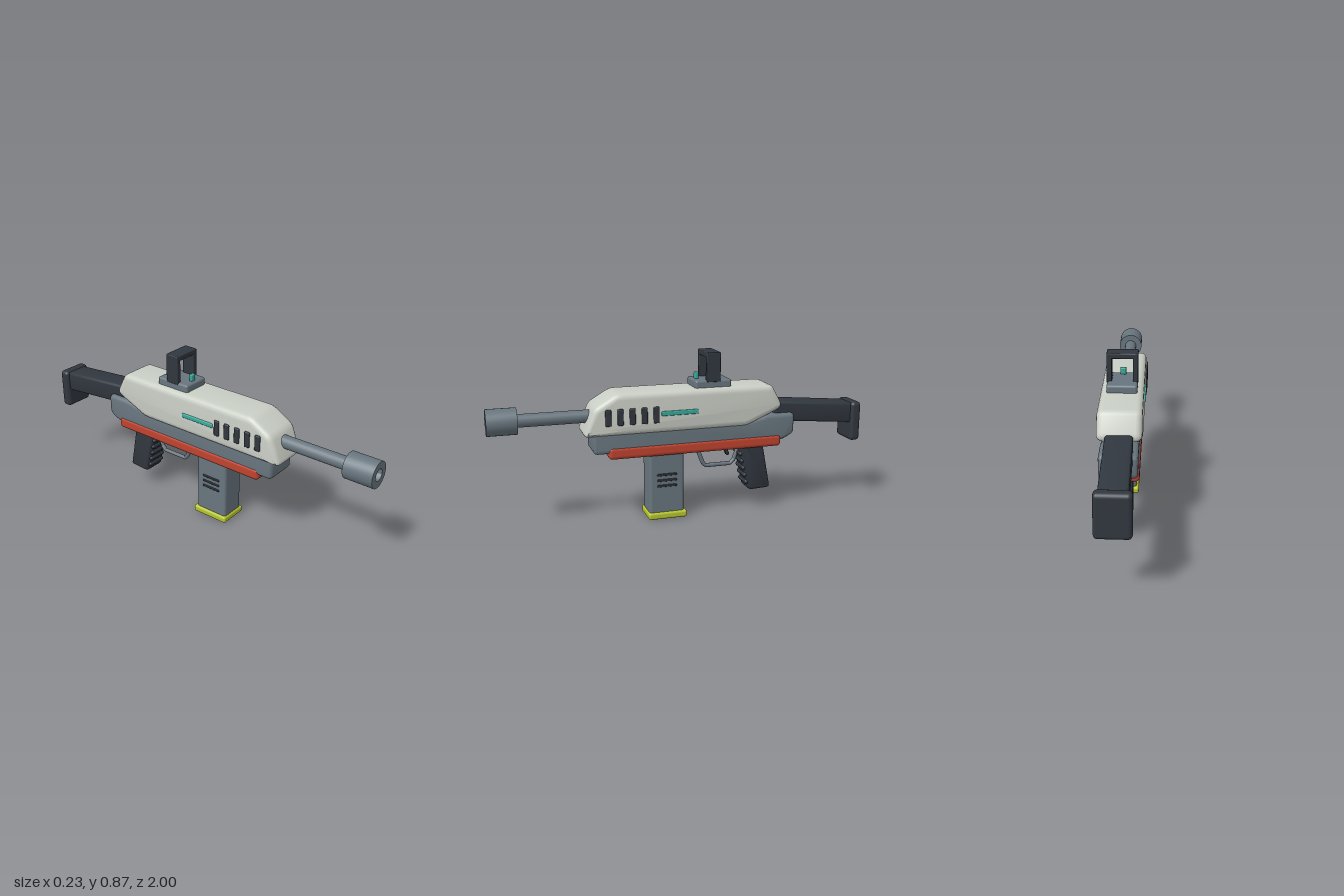
import * as THREE from 'three';
import { toCreasedNormals } from 'three/addons/utils/BufferGeometryUtils.js';
import { RoundedBoxGeometry } from 'three/addons/geometries/RoundedBoxGeometry.js';

const paint = (name, color) => {
  const m = new THREE.MeshStandardMaterial({ color });
  m.name = name;
  return m;
};

// Closed outline with softened corners; points are [z, y]
function softShape(points, radius) {
  const pts = points.map(p => new THREE.Vector2(...p));
  const shape = new THREE.Shape();
  pts.forEach((p, i) => {
    const prev = pts[(i + pts.length - 1) % pts.length], next = pts[(i + 1) % pts.length];
    const toward = q => p.clone().lerp(q, Math.min(0.45, radius / p.distanceTo(q)));
    const a = toward(prev), b = toward(next);
    if (i === 0) shape.moveTo(a.x, a.y); else shape.lineTo(a.x, a.y);
    shape.quadraticCurveTo(p.x, p.y, b.x, b.y);
  });
  shape.closePath();
  return shape;
}

// Side outline extruded across x, with rounded edges
function slab(points, halfWidth, bevel, radius = bevel) {
  const depth = 2 * (halfWidth - bevel);
  const g = new THREE.ExtrudeGeometry(softShape(points, radius), {
    depth, curveSegments: 4, bevelEnabled: true, bevelSegments: 4,
    bevelThickness: bevel, bevelSize: bevel, bevelOffset: -bevel,
  });
  g.translate(0, 0, -depth / 2).rotateY(-Math.PI / 2);
  return toCreasedNormals(g, 0.6);
}

export function createModel() {
  const model = new THREE.Group();
  model.name = 'toyBlaster';
  const shell = paint('pale shell', 0xc9cec5);
  const grey = paint('slate grey', 0x68757e);
  const dark = paint('charcoal', 0x31373f);
  const red = paint('red', 0xc0432f);
  const yellow = paint('lime yellow', 0xb6c42e);
  const teal = paint('teal', 0x36ab9b);

  const add = (name, geometry, material, x = 0, y = 0, z = 0) => {
    const mesh = new THREE.Mesh(geometry, material);
    mesh.name = name;
    mesh.position.set(x, y, z);
    model.add(mesh);
    return mesh;
  };
  // Rounded box given by its extents in y and z, centred on x
  const block = (name, mat, halfW, y0, y1, z0, z1, r, x = 0) =>
    add(name, new RoundedBoxGeometry(2 * halfW, y1 - y0, z1 - z0, 3, r), mat, x, (y0 + y1) / 2, (z0 + z1) / 2);

  // Body
  add('upperShell', slab([
    [0.54, 0.475], [0.485, 0.62], [0.37, 0.688], [-0.46, 0.688],
    [-0.52, 0.575], [-0.5, 0.552], [-0.32, 0.475],
  ], 0.107, 0.03, 0.025), shell);
  add('lowerReceiver', slab([
    [0.49, 0.38], [0.49, 0.53], [-0.34, 0.5], [-0.44, 0.525],
    [-0.597, 0.525], [-0.597, 0.415], [-0.53, 0.38],
  ], 0.092, 0.022), grey);
  block('underRail', red, 0.097, 0.35, 0.415, -0.52, 0.415, 0.02);

  // Barrel and muzzle with a shallow bore
  const barrel = new THREE.CylinderGeometry(0.033, 0.033, 0.42, 24).rotateX(Math.PI / 2);
  add('barrel', barrel, grey, 0, 0.565, 0.67);
  const muzzle = new THREE.LatheGeometry(
    [[0, 0], [0.067, 0], [0.067, 0.15], [0.031, 0.15], [0.026, 0.12], [0, 0.11]].map(p => new THREE.Vector2(...p)), 28);
  add('muzzle', toCreasedNormals(muzzle.rotateX(Math.PI / 2), 0.5), grey, 0, 0.565, 0.85);

  // Shoulder stock
  add('stockArm', slab([
    [-0.49, 0.592], [-0.96, 0.55], [-0.96, 0.44], [-0.49, 0.482],
  ], 0.066, 0.015), dark);
  block('buttPad', dark, 0.083, 0.34, 0.557, -1, -0.942, 0.02);

  // Magazine
  block('magazine', grey, 0.068, 0.02, 0.37, 0.015, 0.2, 0.015);
  block('magazineBase', yellow, 0.08, 0, 0.037, 0, 0.208, 0.012);

  // Grip with finger ridges along its front edge
  add('grip', slab([
    [-0.295, 0.38], [-0.355, 0.105], [-0.48, 0.11], [-0.435, 0.345], [-0.41, 0.38],
  ], 0.064, 0.02), dark);
  for (let i = 0; i < 5; i++) {
    const ridge = new THREE.CapsuleGeometry(0.013, 0.085, 4, 10).rotateZ(Math.PI / 2);
    add('gripRidge', ridge, dark, 0, 0.31 - i * 0.04, -0.312 - i * 0.0085);
  }

  // Trigger and guard
  const guard = new THREE.CurvePath();
  const g = [[0.36, -0.075], [0.27, -0.108], [0.25, -0.125], [0.25, -0.265], [0.27, -0.285], [0.36, -0.318]]
    .map(([y, z]) => new THREE.Vector3(0, y, z));
  for (let i = 1; i < g.length; i++) guard.add(new THREE.LineCurve3(g[i - 1], g[i]));
  add('triggerGuard', new THREE.TubeGeometry(guard, 60, 0.011, 10), grey);
  add('trigger', slab([[-0.215, 0.36], [-0.243, 0.298], [-0.258, 0.304], [-0.238, 0.36]], 0.014, 0.004), dark);

  // Sight: base, open frame and bead
  block('sightBase', grey, 0.075, 0.675, 0.726, -0.24, -0.045, 0.012);
  for (const s of [-1, 1]) block('sightPost', dark, 0.013, 0.715, 0.866, -0.18, -0.105, 0.005, s * 0.064);
  block('sightTop', dark, 0.077, 0.84, 0.868, -0.18, -0.105, 0.005);
  block('sightBead', teal, 0.015, 0.724, 0.76, -0.082, -0.062, 0.005);

  // Side details, mirrored
  for (const s of [-1, 1]) {
    for (let i = 0; i < 5; i++) {
      const z = 0.417 - i * 0.0615;
      block('vent', dark, 0.01, 0.53, 0.614, z - 0.015, z + 0.015, 0.006, s * 0.106);
    }
    block('lightBar', teal, 0.008, 0.564, 0.588, -0.05, 0.145, 0.006, s * 0.106);
    for (const y of [0.181, 0.211, 0.241])
      block('magazineRib', dark, 0.007, y - 0.006, y + 0.006, 0.055, 0.16, 0.004, s * 0.067);
  }
  return model;
}
